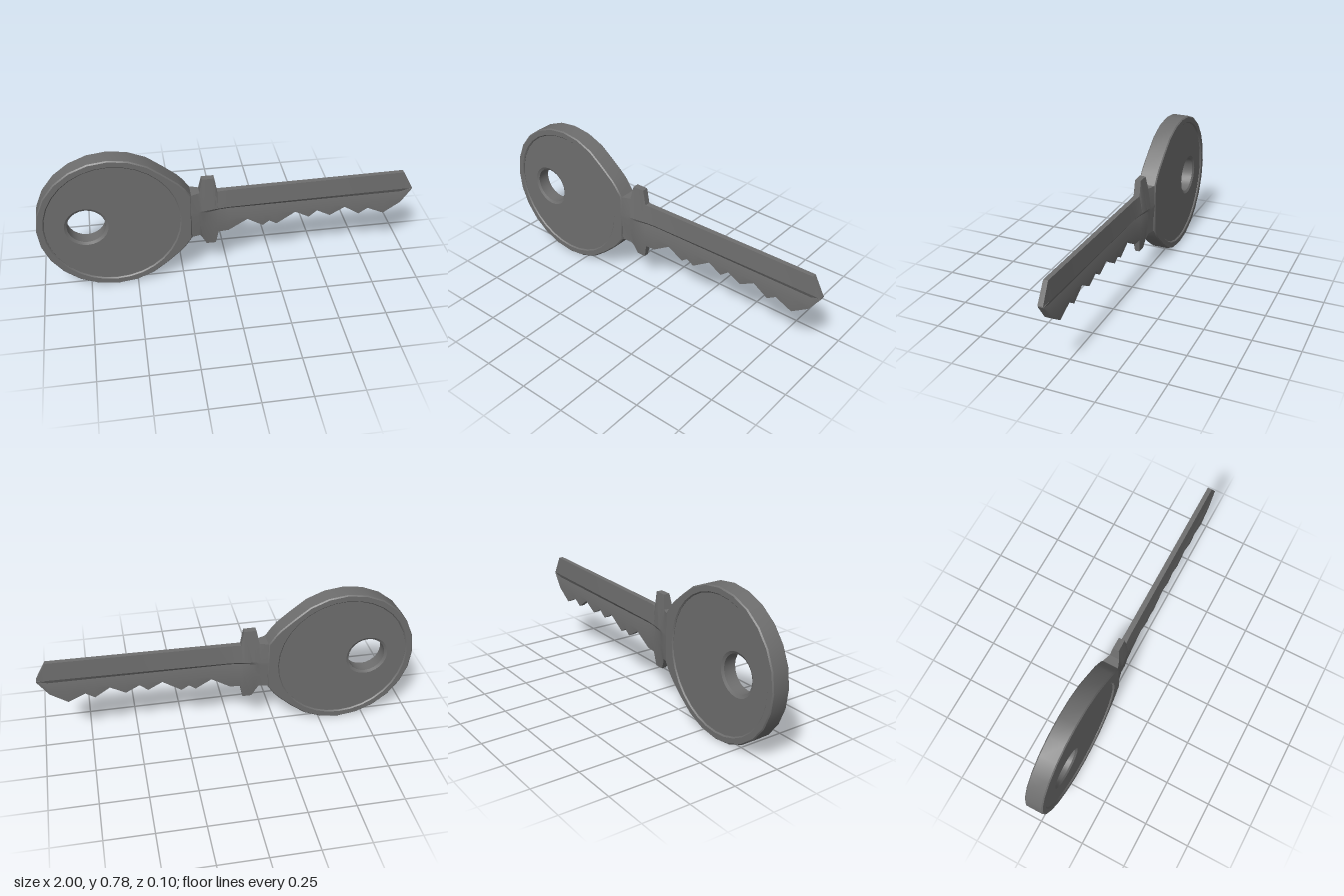
import * as THREE from 'three';
import { toCreasedNormals } from 'three/addons/utils/BufferGeometryUtils.js';

const CX = -0.609, CY = 0.392, R = 0.391;

function circle(x, y, r, n, Type = THREE.Path) {
  const pts = [];
  for (let i = 0; i < n; i++) {
    const a = (i / n) * Math.PI * 2;
    pts.push(new THREE.Vector2(x + r * Math.cos(a), y + r * Math.sin(a)));
  }
  return new Type(pts);
}

// Bevelled plate centred on z = 0, never growing past its outline
function plate(shape, half, bevel, inset) {
  const g = new THREE.ExtrudeGeometry(shape, {
    depth: 2 * (half - bevel), bevelEnabled: true, bevelSegments: 1,
    bevelThickness: bevel, bevelSize: inset, bevelOffset: -inset,
  });
  g.translate(0, 0, bevel - half);
  return toCreasedNormals(g, 0.5);
}

// Head outline: round bow running into a short flare at the neck
function rimShape() {
  const pts = [];
  for (let i = 3; i <= 21; i++) {
    const a = (i / 24) * Math.PI * 2;
    pts.push(new THREE.Vector2(CX + R * Math.cos(a), CY + R * Math.sin(a)));
  }
  [[-0.262, 0.18], [-0.235, 0.21], [-0.2, 0.262], [-0.2, 0.53], [-0.235, 0.58], [-0.262, 0.61]]
    .forEach(([x, y]) => pts.push(new THREE.Vector2(x, y)));
  const s = new THREE.Shape(pts);
  s.holes.push(circle(CX, CY, 0.35, 32));
  return s;
}

// Height of a polyline of [x, y] points at x
function sample(line, x) {
  for (let i = 1; i < line.length; i++) {
    const [x0, y0] = line[i - 1], [x1, y1] = line[i];
    if (x <= x1) return y0 + ((y1 - y0) * (x - x0)) / (x1 - x0);
  }
  return line[line.length - 1][1];
}

const TOP = [[-0.205, 0.53], [-0.155, 0.53], [-0.14, 0.605], [-0.075, 0.605], [-0.06, 0.522],
  [0, 0.524], [0.945, 0.536], [1, 0.434]];
const BOTTOM = [[-0.205, 0.262], [-0.155, 0.262], [-0.12, 0.19], [-0.07, 0.19], [-0.055, 0.265],
  [0, 0.267], [0.1, 0.33], [0.185, 0.278], [0.22, 0.305], [0.26, 0.28], [0.36, 0.347],
  [0.436, 0.305], [0.48, 0.342], [0.553, 0.302], [0.633, 0.348], [0.714, 0.294],
  [0.762, 0.326], [0.853, 0.283], [0.944, 0.346], [1, 0.428]];
// Half thickness of the body and of the top edge, then the groove depth
const BODY = [[-0.205, 0.047], [-0.155, 0.041], [-0.06, 0.028], [0, 0.022], [1, 0.016]];
const EDGE = [[-0.205, 0.046], [-0.155, 0.027], [-0.14, 0.017], [-0.06, 0.016], [0, 0.014], [1, 0.012]];
const DEPTH = [[-0.205, 0], [-0.165, 0], [-0.05, 0.013], [0, 0.013], [1, 0.009]];

// Half cross-section from top to bottom as [y, z], with a V groove in the middle
function section(x) {
  const top = sample(TOP, x), bottom = sample(BOTTOM, x);
  const body = sample(BODY, x), edge = sample(EDGE, x), depth = sample(DEPTH, x);
  const clamp = (y) => Math.min(top - 0.001, Math.max(bottom + 0.002, y));
  const low = clamp(0.342 + 0.03 * x);
  const lowZ = body * 0.9;
  const slope = (body - edge) / Math.max(0.005, low - 0.19);
  const bottomZ = Math.max(0.011, lowZ - slope * (low - bottom));
  return [
    [top, edge],
    [clamp(0.422 + 0.012 * x), body],
    [clamp(0.407 + 0.005 * x), body - depth],
    [low, lowZ],
    [bottom, bottomZ],
  ];
}

// Blade, collar tabs and neck lofted through one section per outline corner
function bladeGeometry() {
  const xs = [...new Set([...TOP, ...BOTTOM, ...BODY, ...DEPTH].map((p) => p[0]))].sort((a, b) => a - b);
  const pos = [], index = [], n = 10;
  xs.forEach((x) => {
    const half = section(x);
    half.forEach(([y, z]) => pos.push(x, y, z));
    [...half].reverse().forEach(([y, z]) => pos.push(x, y, -z));
  });
  for (let i = 0; i < xs.length - 1; i++) {
    for (let j = 0; j < n; j++) {
      const k = (j + 1) % n;
      const a = i * n + j, b = i * n + k, c = b + n, d = a + n;
      index.push(a, b, c, a, c, d);
    }
  }
  const last = (xs.length - 1) * n;
  for (let j = 1; j < n - 1; j++) index.push(last, last + j, last + j + 1);
  const g = new THREE.BufferGeometry();
  g.setAttribute('position', new THREE.Float32BufferAttribute(pos, 3));
  g.setIndex(index);
  return toCreasedNormals(g, 0.3);
}

export function createModel() {
  const group = new THREE.Group();
  group.name = 'key';
  const steel = new THREE.MeshStandardMaterial({ color: 0x6e6e6e });
  steel.name = 'dark steel';

  const add = (name, geometry) => {
    const mesh = new THREE.Mesh(geometry, steel);
    mesh.name = name;
    group.add(mesh);
  };

  // Raised rim around the head
  add('headRim', plate(rimShape(), 0.05, 0.006, 0.006));

  // Recessed disc with the ring hole
  const disc = circle(CX, CY, 0.372, 32, THREE.Shape);
  disc.holes.push(circle(-0.745, 0.39, 0.1, 24));
  add('headDisc', plate(disc, 0.042, 0.008, 0.014));

  // Neck, collar tabs and toothed blade
  add('blade', bladeGeometry());
  return group;
}
